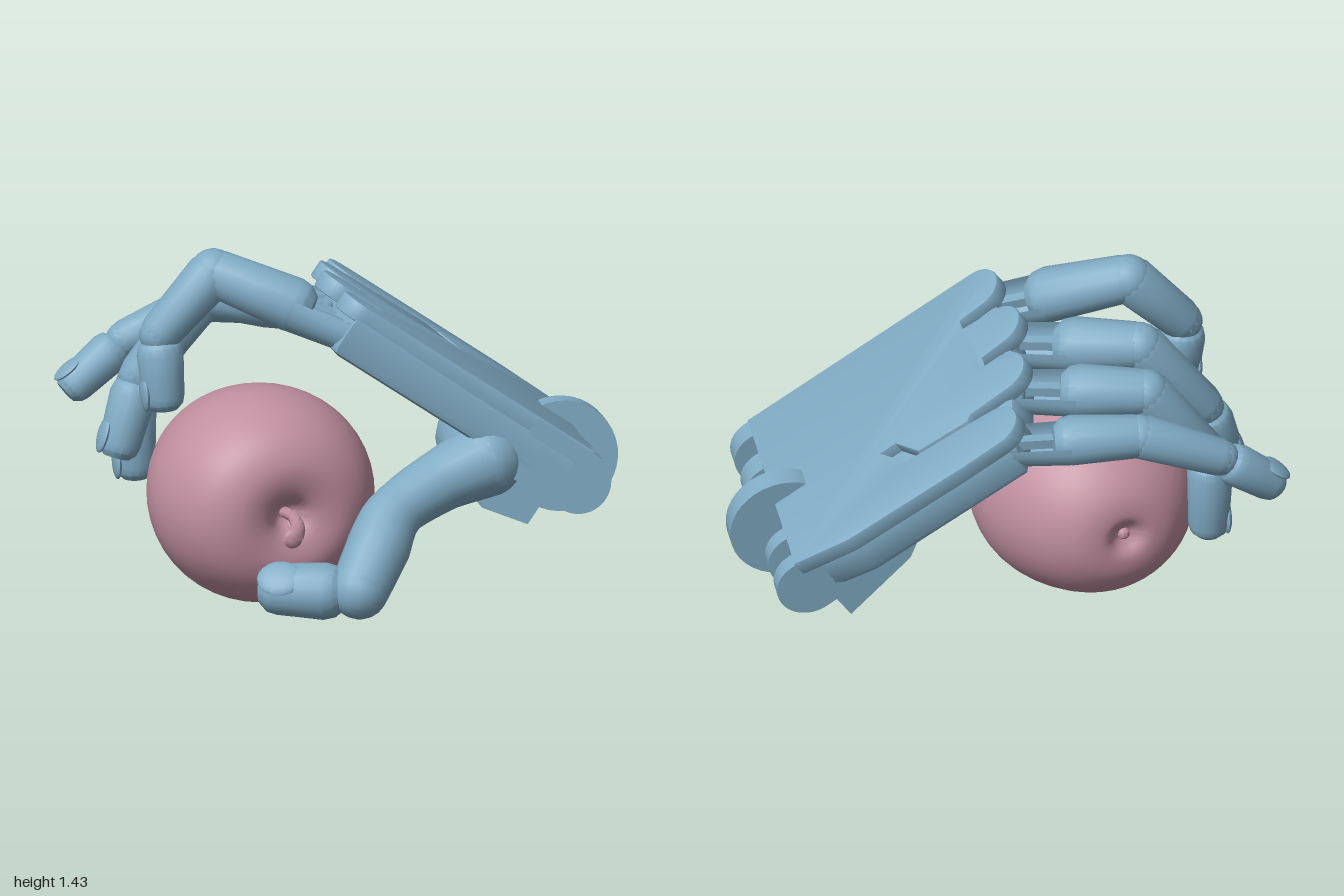
import * as THREE from 'three';
import { toCreasedNormals } from 'three/addons/utils/BufferGeometryUtils.js';

const V = (x, y, z) => new THREE.Vector3(x, y, z);
const blue = new THREE.MeshStandardMaterial({ color: 0x80abc4, side: THREE.DoubleSide });
const rose = new THREE.MeshStandardMaterial({ color: 0xc08f9f });

// Palm frame: x runs across the knuckles, y towards the fingers, z out of the back of the hand
const across = V(0.18, -0.1, -0.98).normalize();
const palmFrame = frame(V(-0.16, 1.29, 0.24), V(-0.8, 0.58, -0.22), across);
const fromPalm = (x, y, z) => V(x, y, z).applyMatrix4(palmFrame);

function frame(origin, along, side) {
  const y = along.clone().normalize();
  const z = side.clone().cross(y).normalize();
  const x = y.clone().cross(z);
  return new THREE.Matrix4().makeBasis(x, y, z).setPosition(origin);
}

function part(parent, name, geometry, material = blue, crease = 0.6) {
  const mesh = new THREE.Mesh(toCreasedNormals(geometry, crease), material);
  mesh.name = name;
  parent.add(mesh);
  return mesh;
}

function ball(parent, name, p, r) {
  part(parent, name, new THREE.SphereGeometry(r, 16, 12)).position.copy(p);
}

// Extrudes a palm outline between two heights
function plate(shape, z0, z1, b) {
  return new THREE.ExtrudeGeometry(shape, {
    depth: z1 - z0 - 2 * b, bevelThickness: b, bevelSize: b, bevelOffset: -b,
    bevelSegments: 2, curveSegments: 10,
  }).translate(0, 0, z0 + b);
}

// Extrudes a lengthwise profile (y, z) across the palm
function crosswise(shape, x0, width) {
  const m = new THREE.Matrix4().makeBasis(V(0, 1, 0), V(0, 0, 1), V(1, 0, 0)).setPosition(x0, 0, 0);
  return new THREE.ExtrudeGeometry(shape, { depth: width, bevelEnabled: false, curveSegments: 20 }).applyMatrix4(m);
}

const polygon = pts => new THREE.Shape(pts.map(p => new THREE.Vector2(...p)));

// Tapered bone with softly rounded ends
function bone(parent, name, a, b, r0, r1, side) {
  const d = b.clone().sub(a), L = d.length();
  const profile = [[0, -r0 * 0.55], [r0 * 0.6, -r0 * 0.5], [r0 * 0.9, -r0 * 0.2], [r0, r0 * 0.2],
    [(r0 + r1) / 2, L / 2], [r1, L - r1 * 0.2], [r1 * 0.9, L + r1 * 0.2], [r1 * 0.6, L + r1 * 0.5], [0, L + r1 * 0.55]]
    .map(p => new THREE.Vector2(...p));
  const m = frame(a, d, side);
  part(parent, name, new THREE.LatheGeometry(profile, 16).applyMatrix4(m));
  return { m, L };
}

// Last bone with a shallow nail on its back
function fingertip(parent, a, b, r, side) {
  const { m, L } = bone(parent, 'fingertip', a, b, r, r * 0.9, side);
  const nail = new THREE.SphereGeometry(1, 14, 10).scale(r * 0.68, r * 0.8, r * 0.2);
  part(parent, 'nail', nail.translate(0, L - r * 0.35, r * 0.78).applyMatrix4(m));
}

// Tube whose radius follows a list of values
function limb(points, radii) {
  const curve = new THREE.CatmullRomCurve3(points), n = 28, sides = 16;
  const g = new THREE.TubeGeometry(curve, n, 1, sides), pos = g.attributes.position;
  for (let i = 0; i <= n; i++) {
    const c = curve.getPointAt(i / n), t = (i / n) * (radii.length - 1);
    const k = Math.min(Math.floor(t), radii.length - 2);
    const r = THREE.MathUtils.lerp(radii[k], radii[k + 1], t - k);
    for (let j = 0; j <= sides; j++) {
      const id = i * (sides + 1) + j;
      const p = V().fromBufferAttribute(pos, id).sub(c).multiplyScalar(r).add(c);
      pos.setXYZ(id, p.x, p.y, p.z);
    }
  }
  return g;
}

// Knuckle lobes: position across the palm and reach of the tip
const lobes = [[0, 0], [0.27, 0.04], [0.53, 0], [0.79, -0.1]];

function buildPalm() {
  const palm = new THREE.Group();
  palm.name = 'palm';

  // Back plate with four knuckle lobes and a split beside the little finger
  const s = new THREE.Shape();
  s.moveTo(-0.11, -1.16);
  lobes.forEach(([c, tip], i) => {
    s.lineTo(c - 0.1, tip - 0.1);
    s.absarc(c, tip - 0.1, 0.1, Math.PI, 0, true);
    if (i < 2) s.lineTo(c + 0.11, tip - 0.2).lineTo(c + 0.16, tip - 0.2);
    if (i === 2) {
      [[0.64, -0.28], [0.665, -0.3], [0.65, -0.53], [0.53, -0.61], [0.53, -0.68], [0.66, -0.59], [0.68, -0.3]]
        .forEach(p => s.lineTo(...p));
    }
  });
  s.lineTo(0.89, -0.4).lineTo(0.87, -0.92).lineTo(0.81, -1.16);
  part(palm, 'backPlate', plate(s, -0.07, 0, 0.006));

  // Palm body, heel and thumb mount
  part(palm, 'palmBody', plate(polygon([[-0.11, -1.12], [-0.11, -0.07], [0.1, -0.05], [0.4, -0.05],
    [0.68, -0.12], [0.88, -0.2], [0.86, -0.92], [0.8, -1.12]]), -0.22, -0.05, 0.03));
  part(palm, 'heel', crosswise(polygon([[-0.6, -0.15], [-0.8, -0.29], [-1.13, -0.36], [-1.13, -0.05], [-0.6, -0.05]]), 0, 0.81));
  part(palm, 'thumbMount', crosswise(polygon([[-0.6, -0.15], [-0.83, -0.27], [-0.94, -0.43], [-1.13, -0.39],
    [-1.13, -0.05], [-0.6, -0.05]]), 0, 0.3));

  // Wrist hinge tabs around one shared axis
  const tab = new THREE.Shape();
  tab.moveTo(-0.9, -0.01).lineTo(-1.18, -0.01);
  tab.absarc(-1.18, -0.135, 0.125, Math.PI / 2, Math.PI * 1.5, false);
  tab.lineTo(-0.9, -0.26);
  [[-0.11, 0.09], [0.09, 0.1], [0.57, 0.07], [0.74, 0.07]].forEach(([x, w]) =>
    part(palm, 'wristTab', crosswise(tab, x, w)));
  const disc = new THREE.CylinderGeometry(0.22, 0.22, 0.09, 36).rotateZ(Math.PI / 2);
  part(palm, 'wristDisc', disc.translate(0.385, -1.19, -0.125));

  palm.applyMatrix4(palmFrame);
  return palm;
}

function buildFinger(name, index, joints, tip, k) {
  const finger = new THREE.Group();
  finger.name = name;
  const [c, end] = lobes[index];
  const root = fromPalm(c, end - 0.1, -0.11);
  const [mid, far] = joints;
  const dir = mid.clone().sub(root).normalize();
  const m = frame(root, dir, across);

  // Knuckle pin and link inside a shell that is open at the back of the hand
  part(finger, 'knucklePin', new THREE.CylinderGeometry(0.03, 0.03, 0.18 * k, 12).rotateZ(Math.PI / 2).applyMatrix4(m));
  part(finger, 'knuckleLink', new THREE.BoxGeometry(0.04, 0.22, 0.04).translate(0, 0.1, 0).applyMatrix4(m));
  const shell = new THREE.CylinderGeometry(0.104 * k, 0.095 * k, 0.27, 12, 1, true, Math.PI * 0.42, Math.PI * 1.16);
  part(finger, 'knuckleShell', shell.translate(0, 0.095, 0).applyMatrix4(m));

  // Bones
  const start = root.clone().addScaledVector(dir, 0.22);
  bone(finger, 'lowerBone', start, mid, 0.106 * k, 0.092 * k, across);
  ball(finger, 'middleJoint', mid, 0.09 * k);
  bone(finger, 'middleBone', mid, far, 0.094 * k, 0.08 * k, across);
  ball(finger, 'endJoint', far, 0.074 * k);
  const tipDir = tip.clone().sub(far).normalize();
  fingertip(finger, far.clone().addScaledVector(tipDir, 0.06), tip.clone().addScaledVector(tipDir, -0.045), 0.09 * k, across);
  return finger;
}

function buildThumb() {
  const thumb = new THREE.Group();
  thumb.name = 'thumb';
  const path = [V(0.35, 0.6, 0.43), V(0.14, 0.53, 0.44), V(-0.06, 0.44, 0.49), V(-0.16, 0.33, 0.57), V(-0.26, 0.21, 0.645)];
  const radii = [0.15, 0.122, 0.11, 0.125, 0.115];
  part(thumb, 'thumbBone', limb(path, radii));
  ball(thumb, 'thumbBase', path[0], radii[0]);
  ball(thumb, 'thumbJoint', path[4], radii[4]);
  // Barrel that carries the thumb under the palm
  bone(thumb, 'thumbBarrel', path[0], V(0.41, 0.59, 0.1), 0.145, 0.14, V(0, 1, 0));
  const a = V(-0.36, 0.2, 0.595), b = V(-0.55, 0.195, 0.47);
  fingertip(thumb, a, b, 0.112, b.clone().sub(a).cross(V(-0.3, 0.7, 0.6)));
  return thumb;
}

function buildApple() {
  const apple = new THREE.Group();
  apple.name = 'apple';
  // Profile from the blossom dimple to the stem dimple
  const profile = [[0, -0.4], [0.04, -0.42], [0.1, -0.452], [0.21, -0.425], [0.325, -0.32], [0.41, -0.15], [0.442, 0.01],
    [0.418, 0.16], [0.34, 0.295], [0.22, 0.362], [0.1, 0.345], [0.04, 0.28], [0, 0.26]].map(p => new THREE.Vector2(...p));
  const pts = new THREE.SplineCurve(profile).getPoints(60).map(p => new THREE.Vector2(Math.max(0, p.x), p.y));
  part(apple, 'appleBody', new THREE.LatheGeometry(pts, 48).rotateX(Math.PI / 2).scale(1, 0.96, 1), rose, 1.2);
  part(apple, 'blossomEnd', new THREE.SphereGeometry(0.025, 10, 8).translate(0, 0, -0.41), rose);
  // Curved stem, thicker at its end
  const stem = limb([V(0, 0, 0.25), V(0, 0.01, 0.37), V(-0.02, 0, 0.46), V(-0.07, -0.01, 0.54)], [0.022, 0.022, 0.028, 0.04]);
  part(apple, 'stem', stem, rose, 1.2);
  part(apple, 'stemEnd', new THREE.SphereGeometry(0.04, 12, 8).scale(1, 1, 0.5).translate(-0.07, -0.01, 0.54), rose);
  apple.position.set(-0.425, 0.426, 0);
  return apple;
}

export function createModel() {
  const model = new THREE.Group();
  model.name = 'handHoldingApple';
  model.add(
    buildPalm(),
    buildFinger('indexFinger', 0, [V(-0.6, 1.335, -0.04), V(-0.82, 1.1, -0.06)], V(-0.81, 0.8, -0.02), 1.03),
    buildFinger('middleFinger', 1, [V(-0.55, 1.17, -0.27), V(-0.81, 0.85, -0.3)], V(-0.92, 0.54, -0.26), 1.03),
    buildFinger('ringFinger', 2, [V(-0.5, 1.08, -0.46), V(-0.76, 0.74, -0.48)], V(-0.76, 0.37, -0.46), 1),
    buildFinger('littleFinger', 3, [V(-0.4, 1.0, -0.63), V(-0.72, 0.86, -0.69)], V(-0.965, 0.67, -0.69), 0.94),
    buildThumb(),
    buildApple(),
  );
  return model;
}
